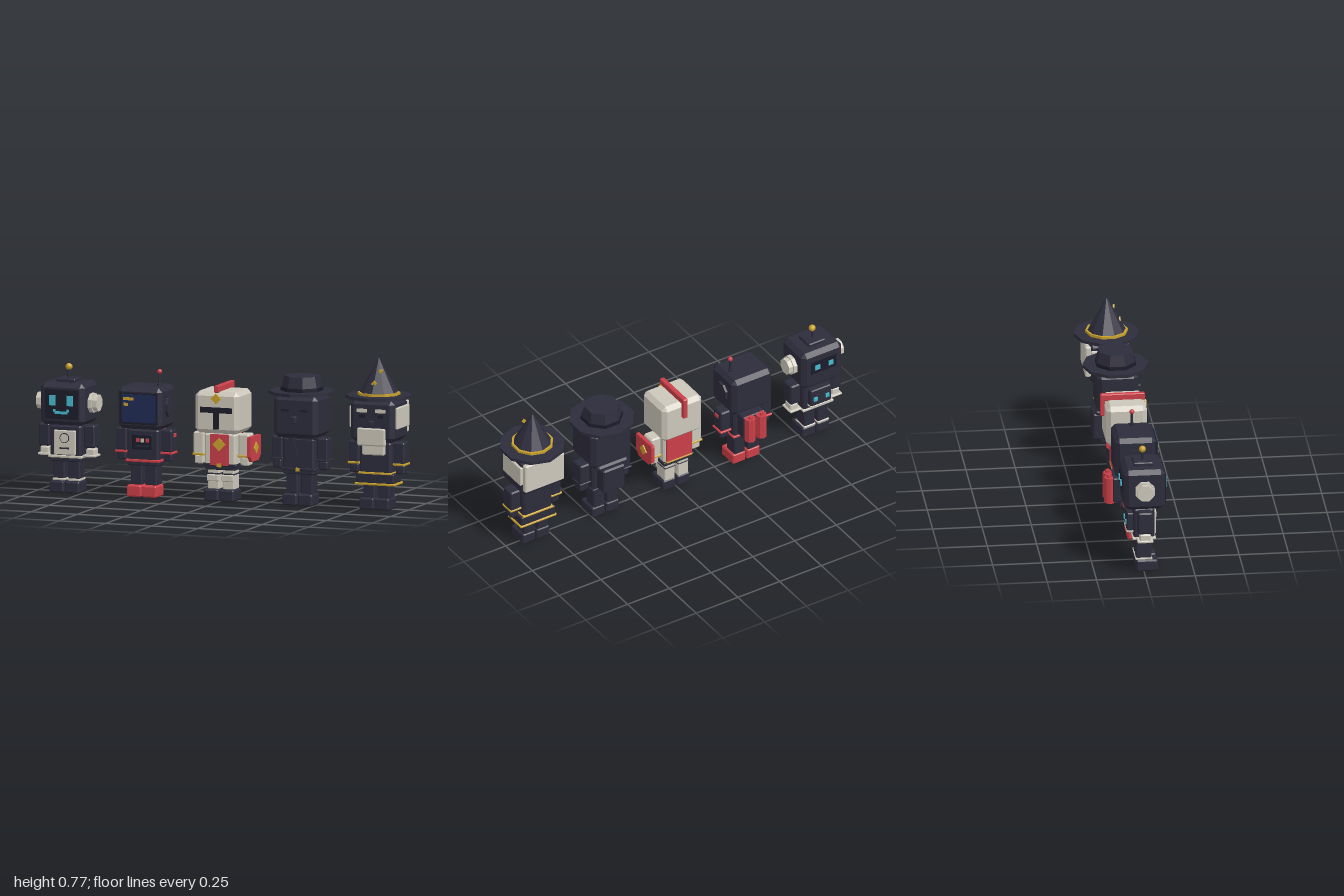
import * as THREE from 'three';
import { ConvexGeometry } from 'three/addons/geometries/ConvexGeometry.js';

const mat = (name, color) => {
  const m = new THREE.MeshStandardMaterial({ color });
  m.name = name;
  return m;
};

export function createModel() {
  const dark = mat('charcoal', 0x2d2c3c), black = mat('visor black', 0x1b1c2a), white = mat('bone white', 0xccc7ba);
  const red = mat('red', 0xcb3f48), gold = mat('gold', 0xc8a12c), cyan = mat('cyan', 0x45b9cf), navy = mat('screen navy', 0x1f2d54);

  const add = (g, name, geo, m, x = 0, y = 0, z = 0) => {
    const mesh = new THREE.Mesh(geo, m);
    mesh.name = name;
    mesh.position.set(x, y, z);
    g.add(mesh);
    return mesh;
  };
  const flat = (geo) => {
    const f = geo.index ? geo.toNonIndexed() : geo;
    f.computeVertexNormals();
    return f;
  };
  // Box with chamfered edges
  const chamfer = (w, h, d, c) => {
    const pts = [];
    for (const i of [-1, 1]) for (const j of [-1, 1]) for (const k of [-1, 1]) {
      const a = w / 2, b = h / 2, e = d / 2;
      pts.push(new THREE.Vector3(i * a, j * (b - c), k * (e - c)),
        new THREE.Vector3(i * (a - c), j * b, k * (e - c)),
        new THREE.Vector3(i * (a - c), j * (b - c), k * e));
    }
    return new ConvexGeometry(pts);
  };
  const block = (g, name, m, w, h, d, x, y, z, c = 0.005) => add(g, name, chamfer(w, h, d, c), m, x, y, z);
  const plate = (g, name, m, w, h, x, y, z, d = 0.008) => add(g, name, new THREE.BoxGeometry(w, h, d), m, x, y, z);
  const tube = (g, name, m, r1, r2, h, n, x, y, z) => add(g, name, flat(new THREE.CylinderGeometry(r1, r2, h, n)), m, x, y, z);
  const diamond = (g, name, r, x, y, z) => {
    const d = add(g, name, flat(new THREE.CylinderGeometry(r, r, 0.008, 4)), gold, x, y, z);
    d.rotation.x = Math.PI / 2;
    return d;
  };
  const ball = (g, name, m, r, x, y, z) => add(g, name, flat(new THREE.IcosahedronGeometry(r, 1)), m, x, y, z);

  const root = new THREE.Group();
  root.name = 'figureSet';

  // Shared body: boots, legs, torso, arms and head
  const figure = (name, x, o = {}) => {
    const g = new THREE.Group();
    g.name = name;
    g.position.x = x;
    root.add(g);
    for (const s of [-1, 1]) {
      block(g, 'boot', o.boot || dark, 0.077, 0.06, 0.11, s * 0.042, 0.03, 0.016, 0.007);
      block(g, 'leg', o.leg || dark, 0.062, 0.115, 0.078, s * 0.04, 0.115, 0);
      block(g, 'upperArm', o.arm || dark, 0.058, 0.115, 0.074, s * 0.122, 0.288, 0, 0.007);
      block(g, 'hand', o.hand || dark, 0.046, 0.045, 0.056, s * 0.124, 0.205, 0, 0.006);
      block(g, 'cuff', o.cuff || dark, 0.066, 0.012, 0.08, s * 0.122, o.cuffY || 0.232, 0, 0.003);
    }
    block(g, 'hips', dark, 0.165, 0.04, 0.1, 0, 0.178, 0);
    block(g, 'torso', o.torso || dark, 0.17, 0.165, 0.106, 0, 0.262, 0, 0.01);
    block(g, 'belt', o.belt || dark, 0.182, 0.014, 0.118, 0, 0.184, 0, 0.003);
    tube(g, 'neck', dark, 0.045, 0.045, 0.03, 8, 0, 0.345, 0);
    block(g, 'head', o.head || dark, 0.238, 0.214, 0.208, 0, 0.456, 0, 0.022);
    return g;
  };
  // Round ear pods facing sideways
  const ears = (g, m, steps) => {
    for (const s of [-1, 1]) for (const [r, from, to] of steps) {
      const e = tube(g, 'earPod', m, r, r, to - from, 8, s * (from + to) / 2, 0.458, 0);
      e.rotation.set(Math.PI / 8, 0, Math.PI / 2);
    }
  };

  // Robot with a smiling face
  const r = figure('smilingRobot', -0.836, { hand: white, cuff: white, cuffY: 0.19, belt: white });
  plate(r, 'facePlate', black, 0.182, 0.15, 0, 0.456, 0.106);
  for (const s of [-1, 1]) {
    plate(r, 'eye', cyan, 0.034, 0.052, s * 0.047, 0.477, 0.112);
    plate(r, 'mouthCorner', cyan, 0.012, 0.014, s * 0.036, 0.425, 0.112);
    plate(r, 'rearHeadLight', cyan, 0.028, 0.026, s * 0.04, 0.475, -0.112);
    plate(r, 'rearPackLight', cyan, 0.02, 0.022, s * 0.035, 0.258, -0.087);
    block(r, 'ankleRing', white, 0.068, 0.012, 0.086, s * 0.04, 0.066, 0, 0.003);
  }
  plate(r, 'mouth', cyan, 0.066, 0.014, 0, 0.415, 0.112);
  plate(r, 'rearHeadPanel', black, 0.15, 0.07, 0, 0.475, -0.106);
  ears(r, white, [[0.052, 0.115, 0.14], [0.044, 0.14, 0.164]]);
  block(r, 'topHatch', dark, 0.1, 0.022, 0.1, 0, 0.57, 0);
  tube(r, 'antenna', dark, 0.007, 0.007, 0.06, 6, 0, 0.605, 0);
  ball(r, 'antennaBall', gold, 0.018, 0, 0.636, 0);
  block(r, 'chestPanel', white, 0.118, 0.125, 0.016, 0, 0.256, 0.056, 0.004);
  const dial = tube(r, 'chestDialRim', dark, 0.026, 0.026, 0.004, 12, 0, 0.28, 0.065);
  dial.rotation.x = Math.PI / 2;
  tube(r, 'chestDial', white, 0.022, 0.022, 0.004, 12, 0, 0.28, 0.067).rotation.x = Math.PI / 2;
  plate(r, 'chestSlot', dark, 0.05, 0.008, 0, 0.228, 0.063);
  block(r, 'backPack', dark, 0.12, 0.1, 0.035, 0, 0.262, -0.067);
  block(r, 'backPackTrim', white, 0.125, 0.012, 0.04, 0, 0.214, -0.067, 0.003);

  // Robot with a screen for a face and twin canisters
  const t = figure('screenRobot', -0.418, { boot: red, cuff: red, cuffY: 0.226, belt: red });
  plate(t, 'screenFrame', black, 0.198, 0.16, 0, 0.456, 0.106);
  plate(t, 'screen', navy, 0.182, 0.142, 0, 0.458, 0.111);
  plate(t, 'screenTextLine', gold, 0.056, 0.015, -0.052, 0.506, 0.114);
  plate(t, 'screenCursor', gold, 0.024, 0.015, -0.066, 0.477, 0.114);
  ears(t, dark, [[0.052, 0.115, 0.132]]);
  tube(t, 'antennaBase', dark, 0.013, 0.013, 0.012, 6, 0.072, 0.567, 0);
  tube(t, 'antenna', dark, 0.006, 0.006, 0.07, 6, 0.072, 0.6, 0);
  ball(t, 'antennaBall', red, 0.013, 0.072, 0.636, 0);
  block(t, 'chestPanel', black, 0.11, 0.075, 0.012, 0, 0.28, 0.056, 0.003);
  [red, white, red].forEach((m, i) => plate(t, 'chestButton', m, 0.017, 0.02, -0.022 + i * 0.026, 0.29, 0.063));
  plate(t, 'chestSlot', dark, 0.07, 0.008, 0, 0.26, 0.061);
  block(t, 'backPack', dark, 0.13, 0.13, 0.06, 0, 0.265, -0.08);
  for (const s of [-1, 1]) {
    tube(t, 'canister', red, 0.029, 0.029, 0.135, 8, s * 0.033, 0.26, -0.123);
    tube(t, 'canisterCap', red, 0.012, 0.012, 0.016, 8, s * 0.033, 0.334, -0.128);
  }
  block(t, 'shoulderPatch', red, 0.008, 0.02, 0.03, 0.154, 0.315, 0, 0.002);

  // Knight with crest, tabard, cape and shield
  const k = figure('knight', 0, { head: white, torso: white, arm: white, hand: white, leg: white, cuff: gold, cuffY: 0.232, belt: dark });
  plate(k, 'visorSlit', black, 0.172, 0.028, 0, 0.47, 0.106);
  plate(k, 'visorSlot', black, 0.03, 0.085, 0, 0.415, 0.106);
  diamond(k, 'browDiamond', 0.027, 0, 0.528, 0.106);
  block(k, 'crestTop', red, 0.026, 0.036, 0.225, 0, 0.576, -0.01, 0.004);
  block(k, 'crestBack', red, 0.026, 0.115, 0.024, 0, 0.535, -0.112, 0.004);
  plate(k, 'tabard', red, 0.1, 0.158, 0, 0.262, 0.058);
  diamond(k, 'tabardDiamond', 0.034, 0, 0.29, 0.064);
  plate(k, 'beltBuckle', gold, 0.022, 0.018, 0, 0.184, 0.064);
  for (const s of [-1, 1]) {
    block(k, 'kneePlate', white, 0.064, 0.034, 0.018, s * 0.04, 0.117, 0.044, 0.004);
    block(k, 'kneeStrap', dark, 0.065, 0.008, 0.082, s * 0.04, 0.137, 0, 0.002);
  }
  block(k, 'cape', red, 0.15, 0.15, 0.014, 0, 0.27, -0.06, 0.003);
  block(k, 'capeTrim', gold, 0.154, 0.012, 0.018, 0, 0.194, -0.06, 0.003);
  const outline = new THREE.Shape([[-0.07, 0.335], [0.07, 0.335], [0.075, 0.325], [0.075, 0.235], [0.045, 0.208], [-0.045, 0.208],
    [-0.07, 0.235], [-0.07, 0.325]].map(([a, b]) => new THREE.Vector2(a, b)));
  const shield = add(k, 'shield', new THREE.ExtrudeGeometry(outline, { depth: 0.018, bevelEnabled: false }), red, 0.155, 0, 0);
  shield.rotation.y = Math.PI / 2;
  const emblem = diamond(k, 'shieldDiamond', 0.03, 0.175, 0.275, 0);
  emblem.rotation.set(0, 0, Math.PI / 2);

  // Detective with a round hat and coat
  const d = figure('detective', 0.424);
  tube(d, 'hatBrim', dark, 0.168, 0.168, 0.016, 10, 0, 0.573, 0);
  tube(d, 'hatBand', black, 0.108, 0.108, 0.018, 8, 0, 0.59, 0).rotation.y = Math.PI / 8;
  tube(d, 'hatCrown', dark, 0.09, 0.107, 0.078, 8, 0, 0.617, 0).rotation.y = Math.PI / 8;
  block(d, 'nose', dark, 0.028, 0.036, 0.03, 0, 0.445, 0.114, 0.004);
  for (const s of [-1, 1]) {
    plate(d, 'eye', black, 0.04, 0.01, s * 0.05, 0.49, 0.105);
    plate(d, 'lapel', dark, 0.04, 0.09, s * 0.032, 0.295, 0.056).rotation.z = s * -0.3;
  }
  plate(d, 'beltBuckle', gold, 0.02, 0.018, 0, 0.184, 0.062);
  block(d, 'collar', dark, 0.18, 0.028, 0.16, 0, 0.345, -0.03, 0.01);
  block(d, 'backPack', dark, 0.13, 0.14, 0.07, 0, 0.262, -0.085, 0.008);

  // Wizard with pointed hat, hair, beard and robe
  const w = figure('wizard', 0.84, { cuff: gold, cuffY: 0.233, belt: gold });
  tube(w, 'hatBrim', dark, 0.168, 0.168, 0.016, 10, 0, 0.573, 0);
  tube(w, 'hatBand', gold, 0.108, 0.108, 0.014, 10, 0, 0.587, 0);
  add(w, 'hatCone', flat(new THREE.ConeGeometry(0.1, 0.182, 10)), dark, 0, 0.679, 0);
  diamond(w, 'hatStar', 0.016, 0, 0.643, 0.067);
  diamond(w, 'hatStar', 0.012, 0.025, 0.705, 0.038);
  for (const s of [-1, 1]) {
    block(w, 'sideHair', white, 0.018, 0.11, 0.165, s * 0.122, 0.472, -0.009, 0.004);
    plate(w, 'eyebrow', white, 0.054, 0.018, s * 0.05, 0.51, 0.106);
    plate(w, 'eye', black, 0.028, 0.016, s * 0.05, 0.482, 0.105);
  }
  block(w, 'backHair', white, 0.235, 0.165, 0.03, 0, 0.465, -0.105, 0.006);
  block(w, 'nose', dark, 0.026, 0.03, 0.022, 0, 0.445, 0.112, 0.004);
  block(w, 'beard', white, 0.15, 0.09, 0.03, 0, 0.377, 0.1, 0.006);
  block(w, 'beardTip', white, 0.12, 0.062, 0.032, 0, 0.312, 0.069, 0.006);
  block(w, 'robeSkirt', dark, 0.205, 0.052, 0.118, 0, 0.16, 0, 0.005);
  block(w, 'robeHem', gold, 0.216, 0.012, 0.124, 0, 0.13, 0, 0.003);

  return root;
}
